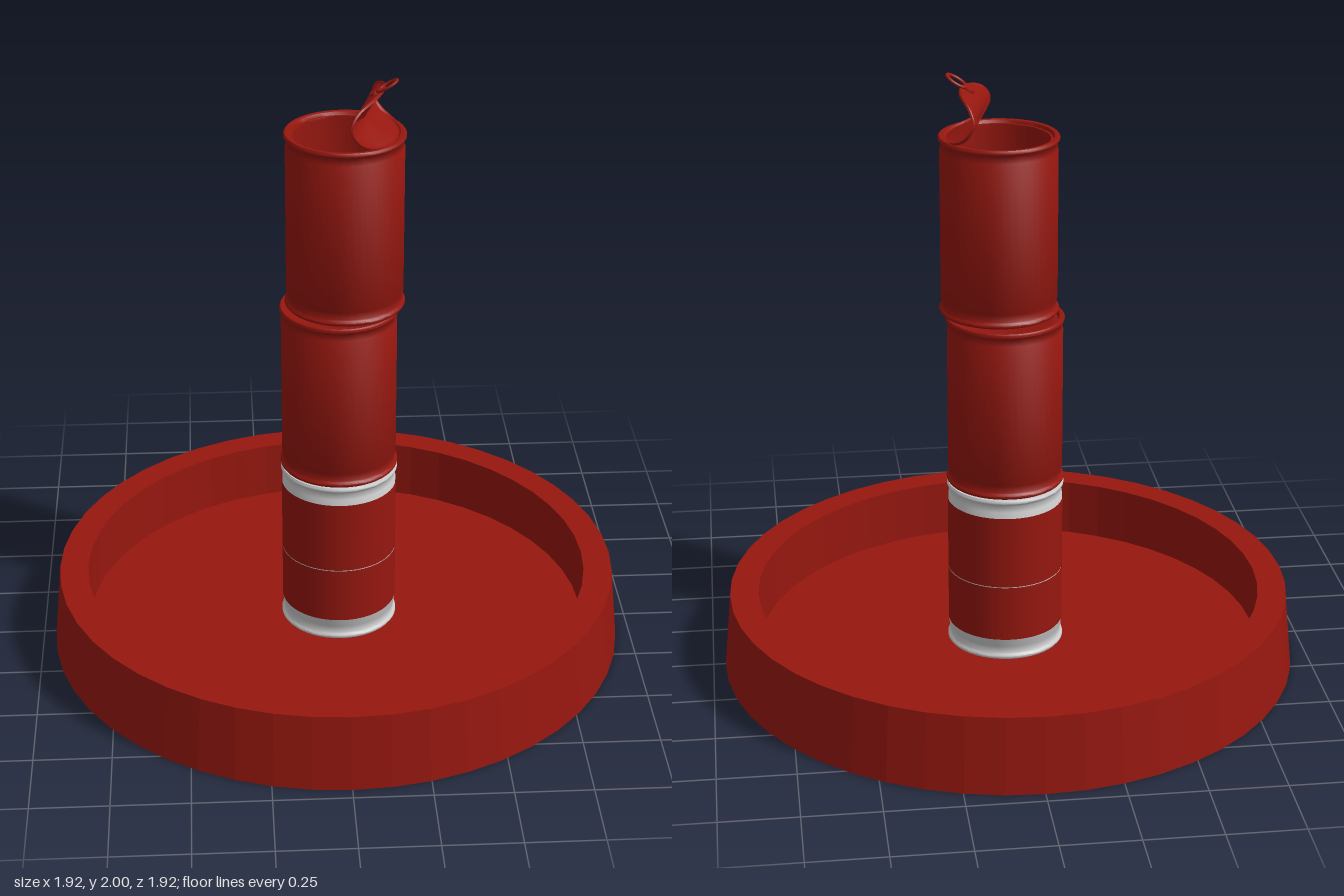
import * as THREE from 'three';
import { toCreasedNormals } from 'three/addons/utils/BufferGeometryUtils.js';

const red = new THREE.MeshStandardMaterial({ color: 0x96170f, side: THREE.DoubleSide });
const redFlat = new THREE.MeshStandardMaterial({ color: 0x96170f, flatShading: true });
const grey = new THREE.MeshStandardMaterial({ color: 0xcccccc, side: THREE.DoubleSide });

function lathe(points, segments) {
  return new THREE.LatheGeometry(points.map(([r, y]) => new THREE.Vector2(r, y)), segments);
}

function add(parent, name, geometry, material) {
  const mesh = new THREE.Mesh(geometry, material);
  mesh.name = name;
  parent.add(mesh);
  return mesh;
}

// Rolled tin can of height h; an open can has a hollow interior
function canGeometry(h, open) {
  const bead = (y, dir) => [[0.184, y], [0.19, y + dir * 0.001], [0.194, y + dir * 0.006],
    [0.194, y + dir * 0.012], [0.189, y + dir * 0.018], [0.186, y + dir * 0.022]];
  const wall = [
    [0, 0.018], [0.172, 0.018], [0.178, 0.002],
    ...bead(0, 1),
    [0.186, 0.045], [0.189, 0.05], [0.189, h - 0.05], [0.186, h - 0.045],
    ...bead(h, -1).reverse(),
    [0.177, h - 0.002],
  ];
  const inside = open
    ? [[0.172, h - 0.012], [0.165, h - 0.012], [0.165, h - 0.018], [0.18, h - 0.022], [0.18, 0.025], [0, 0.025]]
    : [[0.172, h - 0.016], [0.15, h - 0.016], [0.145, h - 0.02], [0, h - 0.02]];
  return toCreasedNormals(lathe([...wall, ...inside], 48), 0.7);
}

// Flat pull tab: an oval finger ring with a short riveted tongue, pointing along +x
function pullTab() {
  const tab = new THREE.Group();
  tab.name = 'pullTab';
  const ring = add(tab, 'tabRing', new THREE.TorusGeometry(0.03, 0.007, 8, 24), red);
  ring.rotation.x = Math.PI / 2;
  ring.scale.set(1.15, 1, 0.7);
  const tongue = add(tab, 'tabTongue', new THREE.CylinderGeometry(0.02, 0.022, 0.008, 16), red);
  tongue.position.x = -0.045;
  return tab;
}

// Peeled lid: a disc rolled along a curled path
function peeledLid() {
  const path = new THREE.CatmullRomCurve3([
    [0.178, 1.806], [0.12, 1.815], [0.076, 1.84], [0.053, 1.885], [0.072, 1.932], [0.122, 1.963],
  ].map(([x, y]) => new THREE.Vector3(x, y, 0)));
  const g = lathe([[0, -0.003], [0.17, -0.003], [0.174, 0], [0.174, 0.006], [0.168, 0.006], [0.162, 0.001],
    [0.13, 0.001], [0.09, 0.001], [0.05, 0.001], [0, 0.001]], 48);
  const p = g.attributes.position;
  for (let i = 0; i < p.count; i++) {
    const u = THREE.MathUtils.clamp((p.getX(i) + 0.174) / 0.348, 0, 1);
    const c = path.getPointAt(u);
    const t = path.getTangentAt(u);
    const lift = p.getY(i);
    p.setXYZ(i, c.x - t.y * -lift, c.y - t.x * lift, p.getZ(i));
  }
  return toCreasedNormals(g, 0.7);
}

export function createModel() {
  const model = new THREE.Group();
  model.name = 'canTower';

  // Round tray with a raised rim
  add(model, 'tray', lathe([[0, 0], [0.96, 0], [0.935, 0.255], [0.84, 0.255], [0.84, 0.055], [0, 0.055]], 48), redFlat);

  // Lower can: bare metal with a two-piece label sleeve
  const lower = new THREE.Group();
  lower.name = 'lowerCan';
  lower.position.set(0.01, 0.057, 0);
  model.add(lower);
  add(lower, 'metalCan', canGeometry(0.58, false), grey);
  for (const [name, y0, y1] of [['labelBottom', 0.073, 0.264], ['labelTop', 0.267, 0.515]]) {
    const label = add(lower, name, new THREE.CylinderGeometry(0.191, 0.191, y1 - y0, 48, 1, true), red);
    label.position.y = (y0 + y1) / 2;
  }

  // Middle can: closed, with its tab lying flat
  const middle = new THREE.Group();
  middle.name = 'middleCan';
  middle.position.set(0.01, 0.64, 0);
  model.add(middle);
  add(middle, 'canBody', canGeometry(0.575, false), red);
  const flatTab = pullTab();
  flatTab.position.set(0.09, 0.572, 0);
  middle.add(flatTab);

  // Upper can: open, with the lid curled back and its tab sticking up
  const upper = new THREE.Group();
  upper.name = 'upperCan';
  upper.position.set(0.028, 0, 0.01);
  model.add(upper);
  add(upper, 'canBody', canGeometry(0.587, true), red).position.y = 1.228;
  const lid = new THREE.Group();
  lid.name = 'openLid';
  lid.rotation.y = -0.263;
  upper.add(lid);
  add(lid, 'curledLid', peeledLid(), red);
  const raisedTab = pullTab();
  raisedTab.position.set(0.135, 1.979, 0.012);
  raisedTab.rotation.z = 0.55;
  lid.add(raisedTab);

  return model;
}
